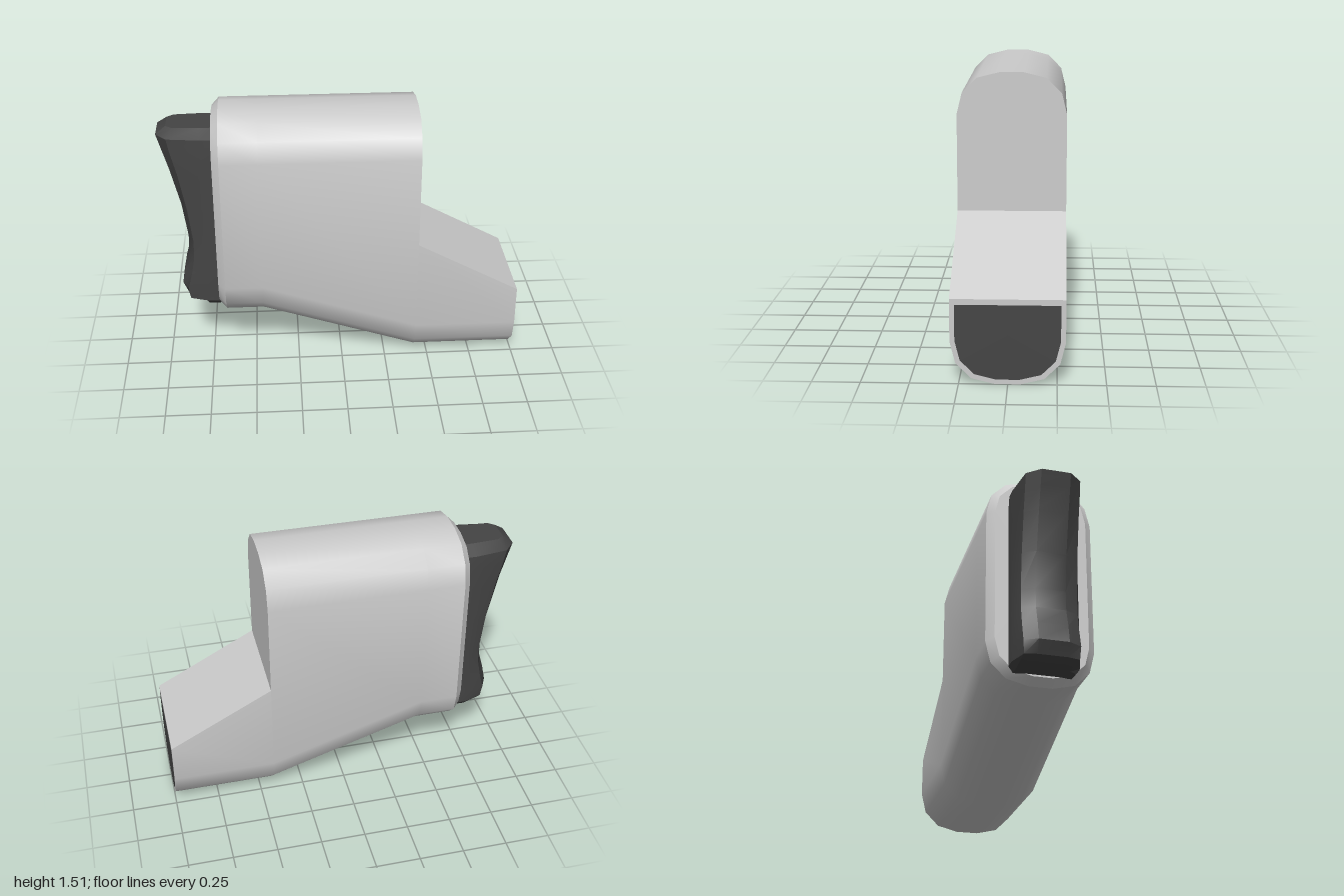
import * as THREE from 'three';
import { toCreasedNormals } from 'three/addons/utils/BufferGeometryUtils.js';

// Skin a list of equal-length rings and close both ends with fans.
function loft(rings, crease) {
  const n = rings[0].length, pos = [], idx = [];
  rings.forEach(r => r.forEach(p => pos.push(...p)));
  for (let s = 0; s < rings.length - 1; s++) {
    for (let i = 0; i < n; i++) {
      const j = (i + 1) % n, a = s * n, b = a + n;
      idx.push(a + i, a + j, b + j, a + i, b + j, b + i);
    }
  }
  [0, rings.length - 1].forEach((s, end) => {
    const c = pos.length / 3;
    pos.push(...[0, 1, 2].map(k => rings[s].reduce((t, p) => t + p[k], 0) / n));
    for (let i = 0; i < n; i++) {
      const a = s * n + i, b = s * n + (i + 1) % n;
      idx.push(c, ...(end ? [a, b] : [b, a]));
    }
  });
  const g = new THREE.BufferGeometry();
  g.setAttribute('position', new THREE.Float32BufferAttribute(pos, 3));
  g.setIndex(idx);
  return toCreasedNormals(g, crease);
}

// Quarter of the rounded edge: [z, depth from the extreme], side to middle
const ARC = [[0.293, 0.225], [0.265, 0.11], [0.185, 0.03], [0.065, 0]];
const HALF = 0.293;

// Cross-section at x: rounded bottom, rounded or flat top, optional inset
function section(x, bottom, top, flat = false, inset = 0) {
  const k = (HALF - inset) / HALF;
  const low = ARC.map(([z, d]) => [x, bottom + inset + d * k, z * k]);
  const high = ARC.map(([z, d]) => [x, top - inset - (flat ? 0 : d * k), z * k]);
  const mirror = pts => pts.map(([px, y, z]) => [px, y, -z]);
  return [...low, ...mirror(low).reverse(), ...mirror(high), ...high.reverse()];
}

export function createModel() {
  const group = new THREE.Group();
  const grey = new THREE.MeshStandardMaterial({ color: 0xcccccc });
  const dark = new THREE.MeshStandardMaterial({ color: 0x444444 });
  const add = (name, geometry, material) => {
    const mesh = new THREE.Mesh(geometry, material);
    mesh.name = name;
    group.add(mesh);
  };

  // Housing with chamfered rear rim, sloping belly and a step down to the nozzle
  add('housing', loft([
    section(-0.70, 0.29, 1.51, false, 0.04),
    section(-0.66, 0.29, 1.51),
    section(-0.45, 0.29, 1.51),
    section(0.425, 0, 1.51),
    section(0.425, 0, 0.76, true),
    section(0.998, 0, 0.45, true),
  ], 0.65), grey);

  // Dark opening at the end of the nozzle
  add('nozzleOpening', loft([
    section(0.99, 0, 0.445, true, 0.025),
    section(1.0, 0, 0.445, true, 0.025),
  ], 0.65), dark);

  // Rear grip, stacked upwards: [y, back x, bevel x, half width, bevel width, back width]
  const grip = [
    [0.34, -0.80, -0.78, 0.155, 0.12, 0.07],
    [0.37, -0.88, -0.865, 0.18, 0.145, 0.08],
    [0.44, -0.91, -0.875, 0.18, 0.15, 0.08],
    [0.54, -0.89, -0.85, 0.18, 0.15, 0.08],
    [0.64, -0.862, -0.832, 0.18, 0.15, 0.08],
    [0.75, -0.86, -0.83, 0.18, 0.15, 0.08],
    [0.95, -0.887, -0.853, 0.18, 0.15, 0.08],
    [1.17, -0.94, -0.893, 0.18, 0.15, 0.08],
    [1.30, -0.977, -0.925, 0.18, 0.15, 0.08],
    [1.38, -1.0, -0.94, 0.175, 0.15, 0.08],
    [1.42, -0.945, -0.91, 0.10, 0.09, 0.06],
  ];
  add('rearGrip', loft(grip.map(([y, back, bevel, w, bw, kw]) => {
    const side = [[-0.69, y, -w], [-0.76, y, -w], [bevel, y, -bw], [back, y, -kw]];
    return [...side, ...side.map(([x, py, z]) => [x, py, -z]).reverse()];
  }), 0.45), dark);

  return group;
}
